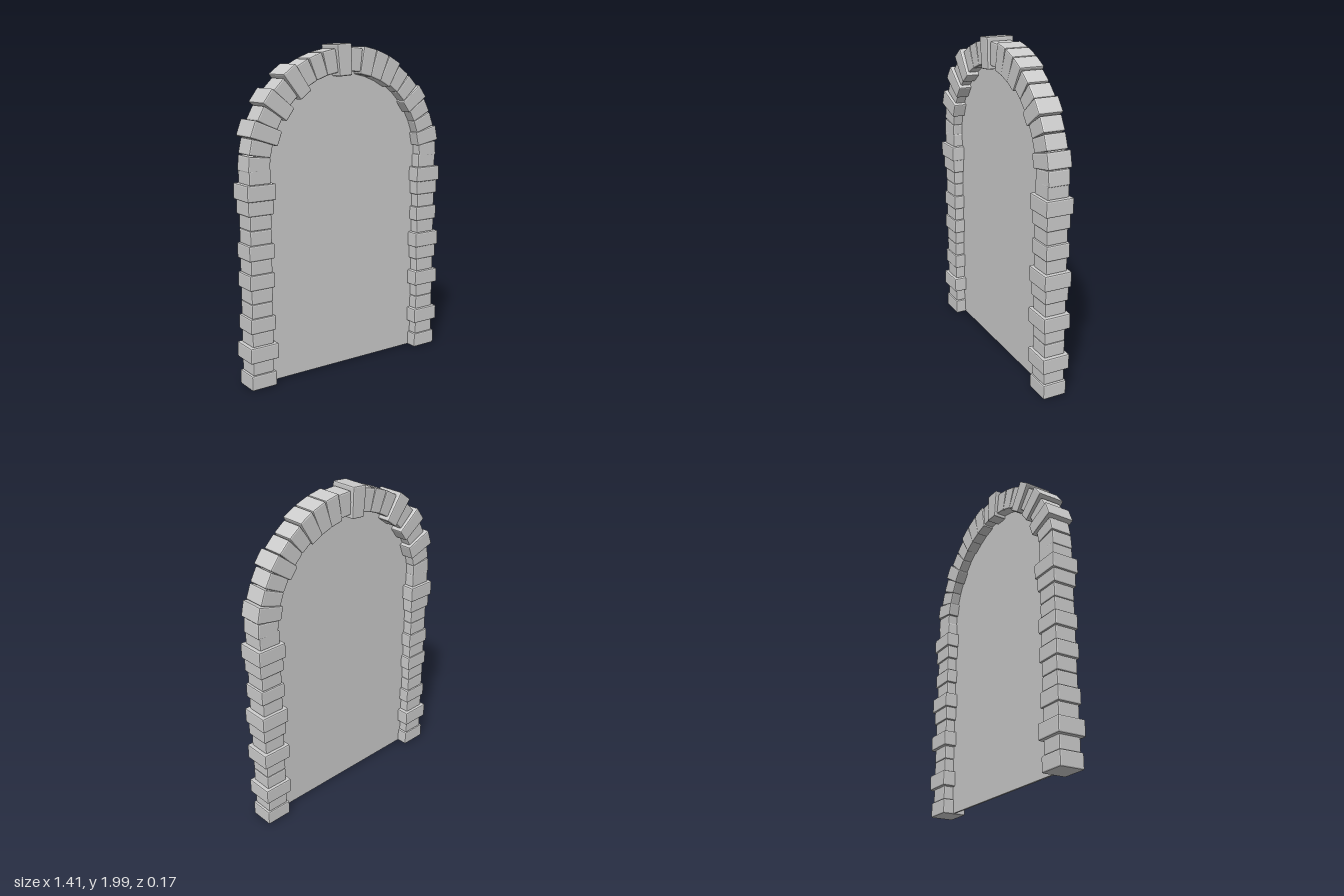
import * as THREE from 'three';
import { RoundedBoxGeometry } from 'three/addons/geometries/RoundedBoxGeometry.js';

// Stone sizes: across the wall band, along the band, depth
const SIZES = {
  N: [0.14, 0.087, 0.135],
  M: [0.166, 0.091, 0.15],
  B: [0.186, 0.095, 0.172],
};
const RADIUS = 0.618; // centre line of the arch
const SPRING = 1.285; // height where the arch begins
const MID_Z = -0.002;

export function createModel() {
  const stone = new THREE.MeshStandardMaterial({ color: 0xcccccc });
  stone.name = 'grey stone';
  const group = new THREE.Group();
  group.name = 'stoneArchway';

  // One chamfered stone; taper narrows the end that faces the arch centre
  function makeStone(name, code, taper) {
    const [w, h, d] = SIZES[code];
    const geo = new RoundedBoxGeometry(w, h, d, 1, 0.008);
    const p = geo.attributes.position;
    for (let i = 0; i < p.count; i++) {
      p.setY(i, p.getY(i) * (1 + (taper * p.getX(i)) / w));
    }
    geo.computeVertexNormals();
    const mesh = new THREE.Mesh(geo, stone);
    mesh.name = name;
    return mesh;
  }

  // Straight posts, listed from the ground up
  function addPost(name, x, codes) {
    const post = new THREE.Group();
    post.name = name;
    const step = (SPRING + 0.01) / codes.length;
    [...codes].forEach((code, i) => {
      const block = makeStone('postStone', code, 0);
      block.position.set(x, 0.006 + step * (i + 0.5), MID_Z);
      post.add(block);
    });
    group.add(post);
  }
  addPost('rightPost', -0.615, 'MNBNMNNMNMNNMBN');
  addPost('leftPost', 0.611, 'MNBNNBNMBNMNMBN');

  // Ring of arch stones, listed from the left post over to the right post
  const arch = new THREE.Group();
  arch.name = 'archRing';
  const codes = 'NMNNMNNMMMNBNNNBNBNBNN';
  [...codes].forEach((code, i) => {
    const a = (Math.PI * (i + 0.5)) / codes.length;
    const block = makeStone(i === 11 ? 'keystone' : 'archStone', code, 0.13);
    block.position.set(RADIUS * Math.cos(a), SPRING + RADIUS * Math.sin(a), MID_Z);
    block.rotation.z = a;
    arch.add(block);
  });
  group.add(arch);

  // Thin panel filling the opening
  const outline = new THREE.Shape();
  outline.moveTo(-0.6, 0.008);
  outline.lineTo(0.6, 0.008);
  outline.lineTo(0.6, SPRING);
  outline.absarc(0, SPRING, 0.6, 0, Math.PI, false);
  outline.closePath();
  const panelGeo = new THREE.ExtrudeGeometry(outline, { depth: 0.012, bevelEnabled: false, curveSegments: 32 });
  panelGeo.translate(0, 0, MID_Z - 0.006);
  const panel = new THREE.Mesh(panelGeo, stone);
  panel.name = 'doorPanel';
  group.add(panel);

  return group;
}
